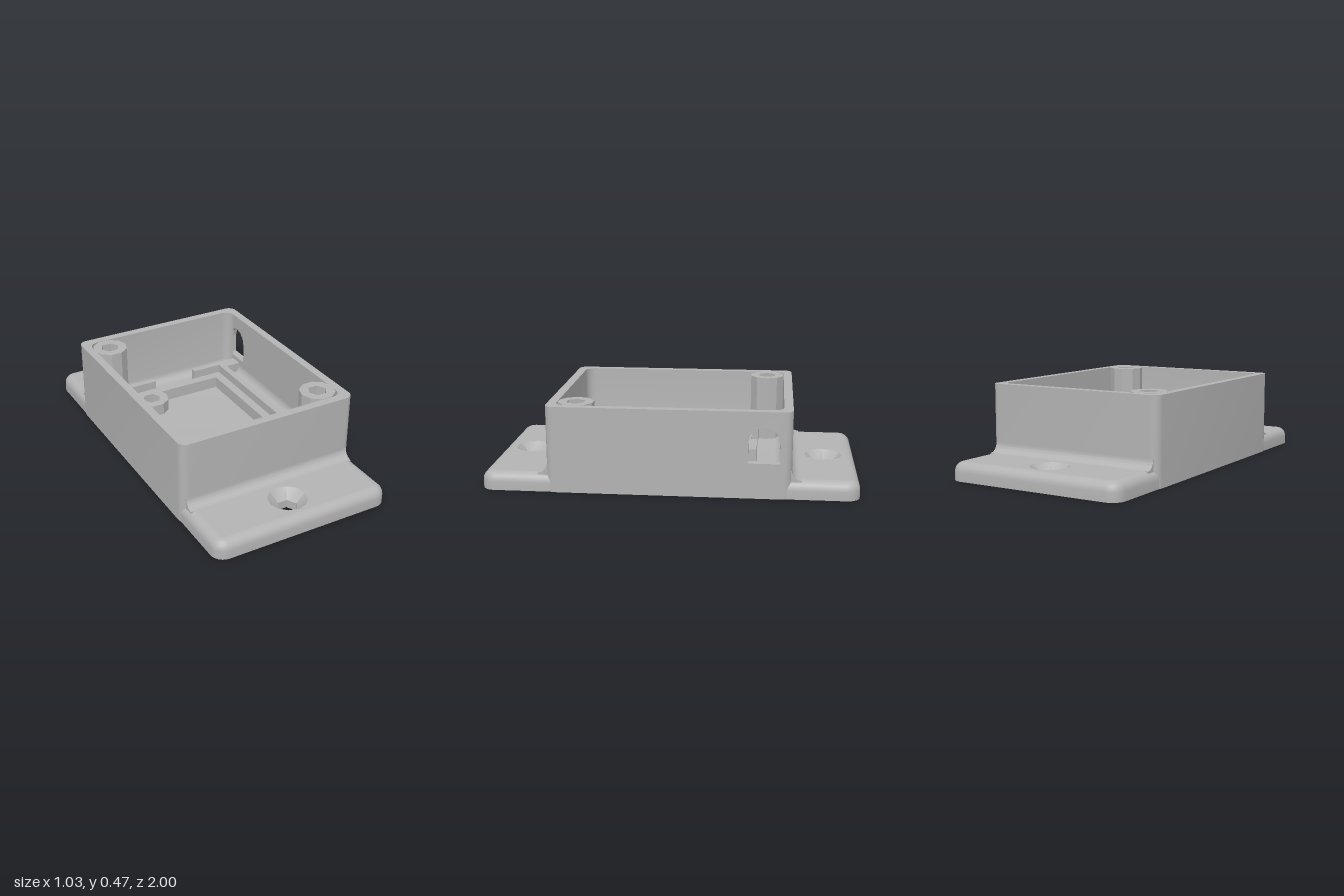
import * as THREE from 'three';
import { toCreasedNormals } from 'three/addons/utils/BufferGeometryUtils.js';

const FLOOR = 0.097, TOP = 0.465;
const V2 = (x, y) => new THREE.Vector2(x, y);

// Regular polygon and rounded rectangle outlines, counter-clockwise from above
function polygon(n, r, cx = 0, cy = 0) {
  return Array.from({ length: n }, (_, i) => {
    const t = (i / n) * Math.PI * 2;
    return V2(cx + r * Math.cos(t), cy + r * Math.sin(t));
  });
}
function roundRect(hx, hz, r, seg = 6) {
  const pts = [];
  [[1, 1], [-1, 1], [-1, -1], [1, -1]].forEach(([sx, sy], k) => {
    for (let j = 0; j <= seg; j++) {
      const t = (k + j / seg) * Math.PI / 2;
      pts.push(V2(sx * (hx - r) + r * Math.cos(t), sy * (hz - r) + r * Math.sin(t)));
    }
  });
  return pts;
}

// Skin through a stack of outlines; skip(row, i) leaves a quad open
function loft(loops, skip = () => false, cap = false) {
  const pos = [], idx = [], n = loops[0].pts.length;
  for (const { pts, y } of loops) for (const p of pts) pos.push(p.x, y, -p.y);
  for (let r = 0; r < loops.length - 1; r++) {
    for (let i = 0; i < n; i++) {
      if (skip(r, i)) continue;
      const a = r * n + i, b = r * n + (i + 1) % n;
      idx.push(a, b, b + n, a, b + n, a + n);
    }
  }
  const last = (loops.length - 1) * n;
  if (cap) for (let i = 1; i < n - 1; i++) idx.push(last, last + i, last + i + 1);
  const g = new THREE.BufferGeometry();
  g.setAttribute('position', new THREE.Float32BufferAttribute(pos, 3));
  g.setIndex(idx);
  return toCreasedNormals(g, 0.5);
}

function shapeOf(pts, holes = []) {
  const s = new THREE.Shape(pts);
  for (const h of holes) s.holes.push(new THREE.Path(h));
  return s;
}

// Upright prism between two heights
function prism(pts, y0, y1, holes) {
  const g = new THREE.ExtrudeGeometry(shapeOf(pts, holes), { depth: y1 - y0, bevelEnabled: false });
  return g.rotateX(-Math.PI / 2).translate(0, y0, 0);
}

export function createModel() {
  const model = new THREE.Group();
  model.name = 'mountingEnclosure';
  const grey = new THREE.MeshStandardMaterial({ color: 0xb3b3b3 });
  grey.name = 'grey plastic';
  const add = (name, geo, parent = model) => {
    const m = new THREE.Mesh(geo, grey);
    m.name = name;
    parent.add(m);
    return m;
  };

  // Base plate with rounded upper edge
  const R = 0.05, steps = 5, holeZ = 0.825;
  const plateLoops = [{ pts: roundRect(0.51, 1, 0.07), y: 0 }];
  for (let i = 0; i <= steps; i++) {
    const t = (i / steps) * Math.PI / 2, inset = R * (1 - Math.cos(t));
    plateLoops.push({ pts: roundRect(0.51 - inset, 1 - inset, 0.07 - inset), y: FLOOR - R + R * Math.sin(t) });
  }
  add('basePlateEdge', loft(plateLoops));
  const holes = (n, r) => [-holeZ, holeZ].map(z => polygon(n, r, 0, z));
  const topCap = new THREE.ShapeGeometry(shapeOf(plateLoops[steps + 1].pts, holes(12, 0.105)));
  add('basePlateTop', topCap.rotateX(-Math.PI / 2).translate(0, FLOOR, 0));
  const bottomCap = new THREE.ShapeGeometry(shapeOf(plateLoops[0].pts, holes(6, 0.055)));
  add('basePlateBottom', bottomCap.rotateX(Math.PI / 2));

  // Countersunk screw holes: round funnel into a six-sided bore
  const hex12 = polygon(12, 0.055).map((p, i) => (i % 2 ? p.multiplyScalar(Math.cos(Math.PI / 6)) : p));
  for (const z of [-holeZ, holeZ]) {
    add('screwHole', loft([
      { pts: polygon(12, 0.105), y: FLOOR }, { pts: hex12, y: 0.045 }, { pts: hex12, y: 0 },
    ])).position.z = z;
  }

  // Box walls: outside, rim, inside, filleted floor; one long side left open for the slotted panel
  const outer = roundRect(0.515, 0.645, 0.045), inner = roundRect(0.47, 0.597, 0.055);
  const boxLoops = [{ pts: outer, y: 0 }, { pts: outer, y: TOP }, { pts: inner, y: TOP }];
  for (let i = 0; i <= steps; i++) {
    const t = (i / steps) * Math.PI / 2, inset = R * (1 - Math.cos(t));
    boxLoops.push({ pts: roundRect(0.47 - inset, 0.597 - inset, 0.055 - inset), y: FLOOR + R * (1 - Math.sin(t)) + 0.001 });
  }
  add('boxWalls', loft(boxLoops, (r, i) => r < 3 && i === outer.length - 1, true));
  add('boxUnderside', new THREE.ShapeGeometry(shapeOf(outer)).rotateX(Math.PI / 2));

  // Left wall panel with arched cable slot
  const slot = [V2(0.417, 0.19), V2(0.583, 0.19)];
  for (let i = 0; i <= 6; i++) {
    const t = (i / 6) * Math.PI;
    slot.push(V2(0.5 + 0.083 * Math.cos(t), 0.302 + 0.083 * Math.sin(t)));
  }
  const panelShape = shapeOf([V2(-0.6, 0), V2(0.6, 0), V2(0.6, TOP), V2(-0.6, TOP)], [slot]);
  const panel = new THREE.ExtrudeGeometry(panelShape, { depth: 0.045, bevelEnabled: false });
  add('slottedWall', panel.rotateY(Math.PI / 2).translate(0.47, 0, 0));

  // Concave fillets where the box meets the flanges
  const cove = new THREE.Shape([V2(-0.03, 0.05), V2(R, 0.05), V2(R, FLOOR)]);
  cove.absarc(R, FLOOR + R, R, -Math.PI / 2, -Math.PI, true);
  cove.lineTo(-0.03, FLOOR + R);
  const coveGeo = toCreasedNormals(
    new THREE.ExtrudeGeometry(cove, { depth: 0.98, bevelEnabled: false, curveSegments: 6 }), 0.5);
  coveGeo.translate(0, 0, -0.49).rotateY(-Math.PI / 2);
  for (const s of [1, -1]) {
    const g = new THREE.Group();
    g.name = 'flangeFillet';
    g.rotation.y = s > 0 ? 0 : Math.PI;
    model.add(g);
    add('fillet', coveGeo, g).position.z = 0.645;
  }

  // Screw posts with blind six-sided bores
  const post = (name, x, z, top, bore) => {
    const g = new THREE.Group();
    g.name = name;
    g.position.set(x, 0, z);
    add('postBase', prism(polygon(10, 0.098), 0.05, bore), g);
    add('postSleeve', prism(polygon(10, 0.098), bore, top, [polygon(6, 0.052)]), g);
    model.add(g);
  };
  for (const s of [1, -1]) {
    post('lidPost', s * 0.38, s * 0.5, TOP, 0.15);
    post('boardPost', s * 0.205, s * 0.328, 0.165, 0.105);
  }

  // Board ledge and the two brackets around it
  const rect = (hx, hz) => [V2(-hx, -hz), V2(hx, -hz), V2(hx, hz), V2(-hx, hz)];
  add('boardLedge', prism(rect(0.3, 0.422), 0.08, 0.165, [rect(0.25, 0.37)]));
  const bracket = [[0.13, 0.457], [0.13, 0.422], [0.3, 0.422], [0.3, -0.422],
    [0.13, -0.422], [0.13, -0.457], [0.335, -0.457], [0.335, 0.457]];
  for (const s of [1, -1]) {
    add('boardBracket', prism(bracket.map(([x, y]) => V2(s * x, y)), 0.08, 0.213));
  }

  // Cable rest behind the slot
  add('cableRest', new THREE.BoxGeometry(0.16, 0.085, 0.075)).position.set(0.391, 0.1225, -0.502);

  return model;
}
